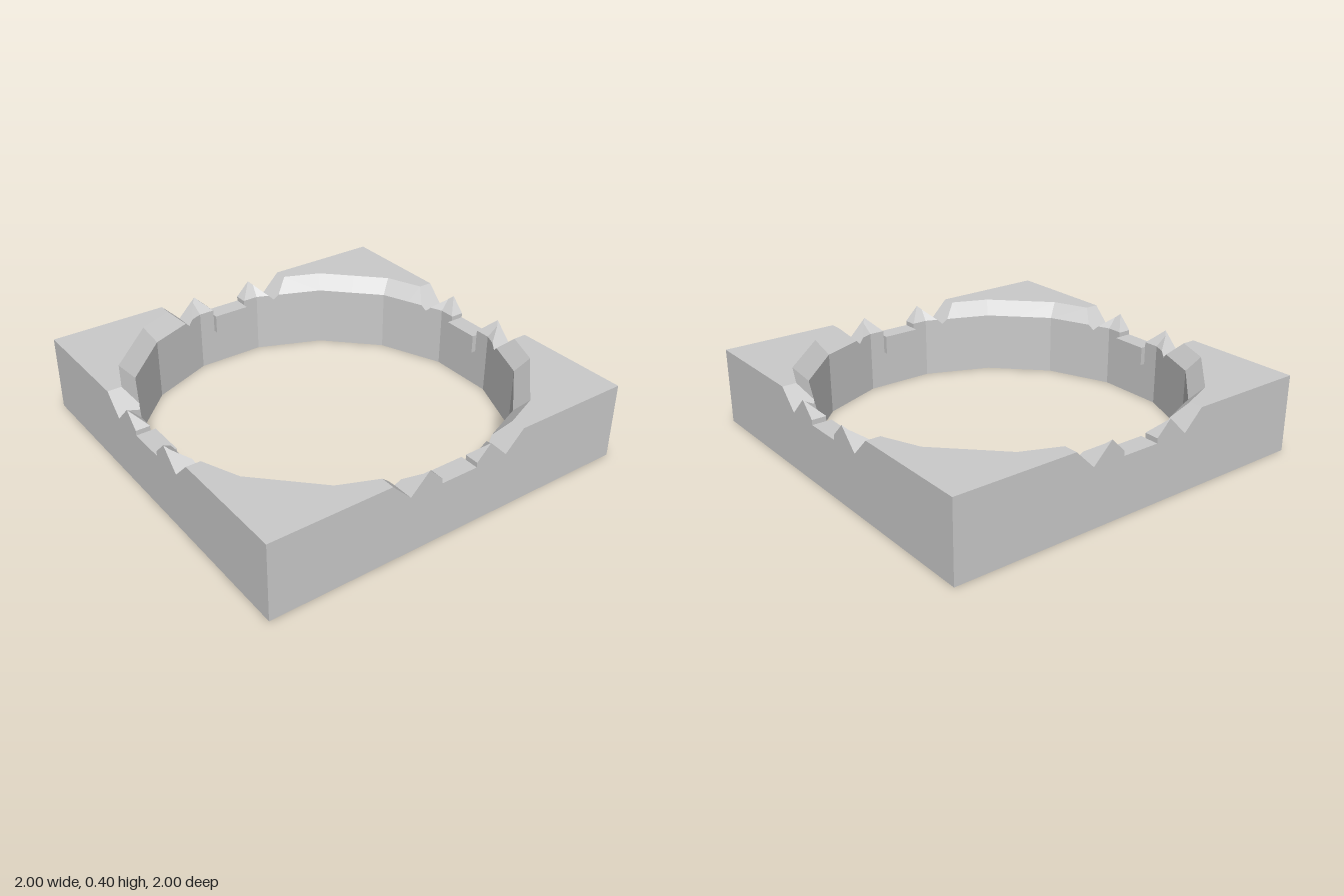
import * as THREE from 'three';

const APOTHEM = 0.927; // flat-to-centre distance of the 16-sided opening
const HEIGHT = 0.4, LEDGE = 0.3;
const EPS = 1e-6;

// Keep the part of a convex polygon of [x, z] points where f >= 0 (f is linear).
function clip(poly, f) {
  const out = [];
  poly.forEach((a, i) => {
    const b = poly[(i + 1) % poly.length];
    const fa = f(a), fb = f(b);
    if (fa >= -EPS) out.push(a);
    if ((fa > EPS && fb < -EPS) || (fa < -EPS && fb > EPS)) {
      const t = fa / (fa - fb);
      out.push([a[0] + (b[0] - a[0]) * t, a[1] + (b[1] - a[1]) * t]);
    }
  });
  return out;
}

function area(p) {
  let s = 0;
  p.forEach((a, i) => {
    const b = p[(i + 1) % p.length];
    s += a[0] * b[1] - a[1] * b[0];
  });
  return s / 2;
}

// Edge profile along half a side: ledge, tooth, V notch, flat corner.
const strips = [
  { from: 0, to: 0.1, h: () => LEDGE },
  { from: 0.1, to: 0.175, h: (x) => HEIGHT - (0.175 - x) },
  { from: 0.175, to: 0.275, h: (x) => HEIGHT - (x - 0.175) },
  { from: 0.275, to: 0.375, h: (x) => LEDGE + (x - 0.275) },
  { from: 0.375, to: 1, h: () => HEIGHT },
];

// Triangles of one eighth of the frame (0 <= x <= z <= 1).
function buildOctant() {
  const tris = [];
  const step = Math.PI / 8;
  for (let k = 0; k < 3; k++) {
    const nx = Math.sin(k * step), nz = Math.cos(k * step);
    const dist = (p) => p[0] * nx + p[1] * nz;
    const bevel = (p) => HEIGHT + dist(p) - 1;
    const lo = Math.tan((k - 0.5) * step), hi = Math.tan((k + 0.5) * step);
    let sector = clip([[0, 0], [1, 1], [0, 1]], (p) => dist(p) - APOTHEM);
    sector = clip(sector, (p) => p[0] - lo * p[1]);
    sector = clip(sector, (p) => hi * p[1] - p[0]);

    strips.forEach((strip, si) => {
      let cell = clip(sector, (p) => p[0] - strip.from);
      cell = clip(cell, (p) => strip.to - p[0]);
      const profile = (p) => strip.h(p[0]);
      const diff = (p) => bevel(p) - profile(p);
      // The surface is the lower of the edge profile and the bevel.
      const parts = [
        [clip(cell, diff), profile],
        [clip(cell, (p) => -diff(p)), bevel],
      ];
      for (const [poly, height] of parts) {
        if (poly.length < 3 || area(poly) < 1e-7) continue;
        const at = (p, y) => [p[0], y, p[1]];
        for (let i = 1; i < poly.length - 1; i++) {
          const [a, b, c] = [poly[0], poly[i], poly[i + 1]];
          tris.push([at(a, height(a)), at(c, height(c)), at(b, height(b))]);
          tris.push([at(a, 0), at(b, 0), at(c, 0)]);
        }
        // Walls: outer face, opening, and the small step beside the ledge.
        poly.forEach((a, i) => {
          const b = poly[(i + 1) % poly.length];
          const both = (f) => Math.abs(f(a)) < 1e-5 && Math.abs(f(b)) < 1e-5;
          const outer = both((p) => p[1] - 1);
          const inner = both((p) => dist(p) - APOTHEM);
          const ledgeStep = si === 1 && both((p) => p[0] - 0.1);
          if (!outer && !inner && !ledgeStep) return;
          const base = ledgeStep ? LEDGE : 0;
          const a0 = at(a, base), b0 = at(b, base);
          const a1 = at(a, height(a)), b1 = at(b, height(b));
          tris.push([a0, a1, b1], [a0, b1, b0]);
        });
      }
    });
  }
  return tris;
}

// Repeat the octant through all eight mirror images.
function frameGeometry() {
  const octant = buildOctant();
  const pos = [];
  for (const sx of [1, -1]) for (const sz of [1, -1]) for (const swap of [false, true]) {
    const flip = sx * sz * (swap ? -1 : 1) < 0;
    for (const [a, b, c] of octant) {
      for (const [x, y, z] of flip ? [a, c, b] : [a, b, c]) {
        pos.push(sx * (swap ? z : x), y, sz * (swap ? x : z));
      }
    }
  }
  const geo = new THREE.BufferGeometry();
  geo.setAttribute('position', new THREE.Float32BufferAttribute(pos, 3));
  geo.computeVertexNormals();
  return geo;
}

export function createModel() {
  const group = new THREE.Group();
  group.name = 'notchedSquareFrame';
  const material = new THREE.MeshStandardMaterial({ color: 0xcccccc, flatShading: true });

  const frame = new THREE.Mesh(frameGeometry(), material);
  frame.name = 'frame';
  group.add(frame);

  // Small pads projecting into the opening under each ledge
  const depth = APOTHEM - 0.9;
  const padGeometry = new THREE.BoxGeometry(0.2, 0.1, depth);
  padGeometry.translate(0, LEDGE - 0.05, 0.9 + depth / 2);
  ['front', 'left', 'back', 'right'].forEach((side, i) => {
    const pad = new THREE.Mesh(padGeometry, material);
    pad.name = side + 'Pad';
    pad.rotation.y = (i * Math.PI) / 2;
    group.add(pad);
  });
  return group;
}
